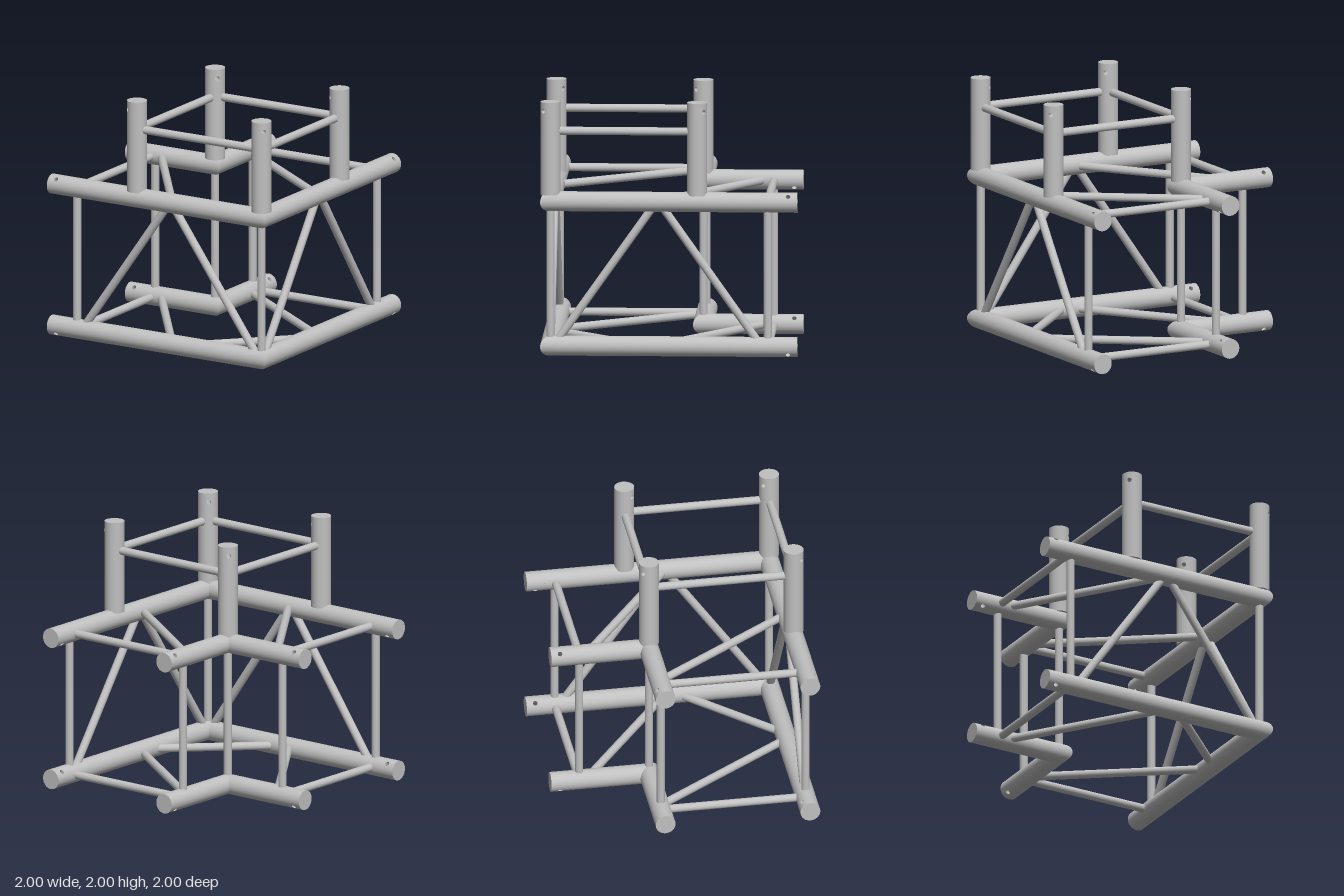
import * as THREE from 'three';
import { mergeGeometries } from 'three/addons/utils/BufferGeometryUtils.js';

const R = 0.078, r = 0.032;            // chord and brace radii
const HOLE = 0.018, SLEEVE = 0.14;     // pin hole radius, length of the drilled end
const HALF = 0.4;                      // half angle of the patch around a hole
const OUT = 0.922, IN = -0.22, LOW = R, HIGH = 1.215, FAR = -0.77, RING = 1.77;
const V = (x, y, z) => new THREE.Vector3(x, y, z);

// Curved patch with a round hole, wrapped on the chord around local +x
function holePatch() {
  const n = 32, rows = 3, pos = [], nor = [], idx = [];
  for (let k = 0; k <= rows; k++) {
    for (let i = 0; i <= n; i++) {
      const t = (i / n) * Math.PI * 2, c = Math.cos(t), s = Math.sin(t);
      const m = Math.max(Math.abs(c), Math.abs(s)), f = k / rows;
      const a = THREE.MathUtils.lerp(HOLE * c / R, HALF * c / m, f);
      const y = SLEEVE / 2 + THREE.MathUtils.lerp(HOLE * s, SLEEVE / 2 * s / m, f);
      pos.push(R * Math.cos(a), y, R * Math.sin(a));
      nor.push(Math.cos(a), 0, Math.sin(a));
      if (k < rows && i < n) {
        const p = k * (n + 1) + i, q = p + n + 1;
        idx.push(p, p + 1, q + 1, p, q + 1, q);
      }
    }
  }
  const g = new THREE.BufferGeometry();
  g.setAttribute('position', new THREE.Float32BufferAttribute(pos, 3));
  g.setAttribute('normal', new THREE.Float32BufferAttribute(nor, 3));
  g.setIndex(idx);
  return g;
}

// Chord along local +y: drilled end at y = 0, optional 45 degree mitre at the far end
function chordGeometry(length, holeAngle, mitred) {
  const parts = [holePatch(), holePatch().rotateY(Math.PI)];
  for (const start of [Math.PI / 2, Math.PI * 1.5]) {
    parts.push(new THREE.CylinderGeometry(R, R, SLEEVE, 14, 1, true, start + HALF, Math.PI - 2 * HALF)
      .translate(0, SLEEVE / 2, 0));
  }
  parts.push(new THREE.CylinderGeometry(HOLE, HOLE, 2 * R * 0.98, 20, 1, true)
    .rotateZ(Math.PI / 2).translate(0, SLEEVE / 2, 0));
  parts.push(new THREE.CircleGeometry(R, 40).rotateX(Math.PI / 2));
  parts.forEach((g) => g.rotateY(-holeAngle));

  const body = new THREE.CylinderGeometry(R, R, length - SLEEVE, 40)
    .translate(0, (length + SLEEVE) / 2, 0);
  if (mitred) {
    const p = body.attributes.position;
    for (let i = 0; i < p.count; i++) {
      if (p.getY(i) > length - 0.001) p.setY(i, p.getY(i) + p.getX(i));
    }
  }
  parts.push(body);
  parts.forEach((g) => g.deleteAttribute('uv'));
  return mergeGeometries(parts);
}

export function createModel() {
  const model = new THREE.Group();
  model.name = 'trussCorner';
  const aluminium = new THREE.MeshStandardMaterial({ color: 0xc0c0c0, side: THREE.DoubleSide });
  aluminium.name = 'aluminium';

  function add(name, geometry) {
    const mesh = new THREE.Mesh(geometry, aluminium);
    mesh.name = name;
    model.add(mesh);
    return mesh;
  }

  // Thick tube from its drilled end to a joint; side is the long side of the mitre
  function chord(name, end, joint, side, outward, mitred) {
    const axis = joint.clone().sub(end), length = axis.length();
    axis.normalize();
    const third = side.clone().cross(axis);
    const angle = Math.atan2(outward.dot(third), outward.dot(side));
    const mesh = add(name, chordGeometry(length, angle, mitred));
    mesh.quaternion.setFromRotationMatrix(new THREE.Matrix4().makeBasis(side, axis, third));
    mesh.position.copy(end);
  }

  // Thin tube between two points
  function brace(name, a, b) {
    const dir = b.clone().sub(a);
    const mesh = add(name, new THREE.CylinderGeometry(r, r, dir.length(), 24));
    mesh.quaternion.setFromUnitVectors(V(0, 1, 0), dir.normalize());
    mesh.position.copy(a).add(b).multiplyScalar(0.5);
  }

  // The two arms are the same with x and z exchanged
  const arms = [
    ['side', (x, y, z) => V(x, y, z)],
    ['back', (x, y, z) => V(z, y, x)],
  ];
  for (const [arm, P] of arms) {
    for (const [level, y, up] of [['Lower', LOW, -1], ['Upper', HIGH, 1]]) {
      for (const [place, c, out] of [['Outer', OUT, 1], ['Inner', IN, -1]]) {
        chord(arm + level + place + 'Chord', P(-1, y, c), P(c, y, c), P(0, 0, 1), P(0, up, out), true);
      }
      brace(arm + level + 'EndBar', P(FAR, y, IN), P(FAR, y, OUT));
      brace(arm + level + 'Diagonal', P(-0.7, y, -0.2), P(0.09, y, 0.9));
    }
    // Posts near the open ends and the slanted braces of the outer face
    brace(arm + 'OuterPost', P(FAR, LOW, OUT), P(FAR, HIGH, OUT));
    brace(arm + 'InnerPost', P(FAR, LOW, IN), P(FAR, HIGH, IN));
    brace(arm + 'OuterSlantA', P(-0.7, 0.11, OUT), P(0.065, 1.195, OUT));
    brace(arm + 'OuterSlantB', P(0.875, 0.11, OUT), P(0.11, 1.195, OUT));
    // Ring bars between the uprights
    for (const c of [OUT, IN]) brace(arm + 'RingBar', P(IN, RING, c), P(OUT, RING, c));
  }

  // Corner posts and the short lower diagonal at the outer corner
  for (const c of [OUT, IN]) brace('cornerPost', V(c, LOW, c), V(c, HIGH, c));
  brace('cornerDiagonal', V(0.2, LOW, 0.91), V(0.91, LOW, 0.2));

  // Four uprights standing on the upper chords
  for (const x of [OUT, IN]) {
    for (const z of [OUT, IN]) {
      chord('upright', V(x, 2, z), V(x, 1.27, z), V(1, 0, 0),
        V(x > 0 ? 1 : -1, 0, z > 0 ? 1 : -1), false);
    }
  }
  return model;
}
